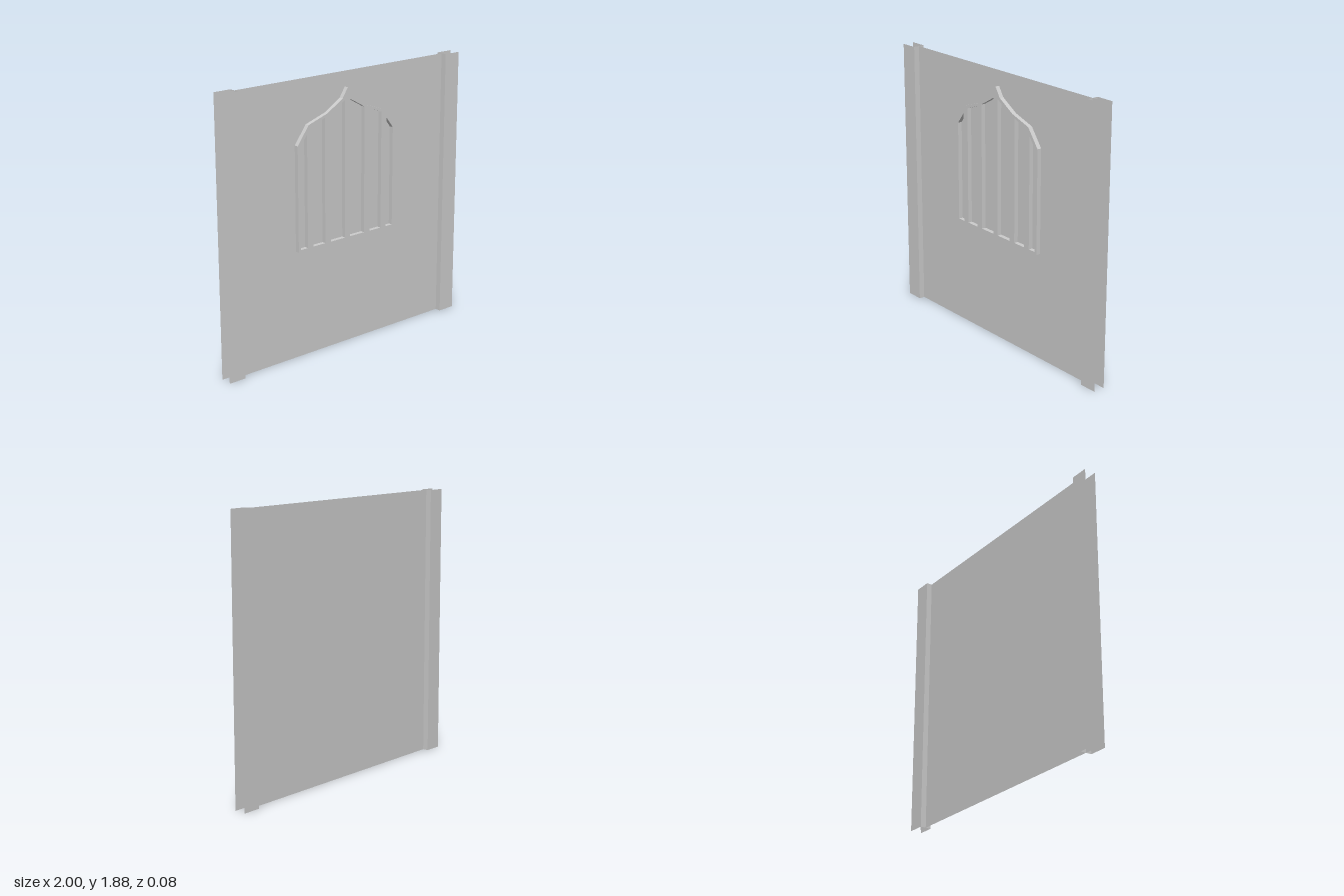
import * as THREE from 'three';

const HEIGHT = 1.88;
const HALF_GAP = 0.04; // half the depth of an edge channel
const WALL_X = 0.875; // where the channel meets the panel

const grey = new THREE.MeshStandardMaterial({ color: 0xcccccc, flatShading: true, side: THREE.DoubleSide });

// Full-height thin sheet, centred on (x, z)
function sheet(name, width, x, z, turn = 0) {
  const mesh = new THREE.Mesh(new THREE.PlaneGeometry(width, HEIGHT), grey);
  mesh.name = name;
  mesh.position.set(x, HEIGHT / 2, z);
  mesh.rotation.y = turn;
  return mesh;
}

// Channel along one edge, open to the outside
function edgeChannel(name, side) {
  const group = new THREE.Group();
  group.name = name;
  const width = 1 - WALL_X;
  const x = side * (WALL_X + width / 2);
  group.add(
    sheet('frontFlange', width, x, HALF_GAP),
    sheet('backFlange', width, x, -HALF_GAP, Math.PI),
    sheet('channelWall', HALF_GAP * 2, side * WALL_X, 0, -side * Math.PI / 2)
  );
  return group;
}

const toPoints = (pairs) => pairs.map(([x, y]) => new THREE.Vector2(x, y));

// Raised pointed-arch frame with vertical bars
function windowFrame() {
  const right = [[0.418, 0.745], [0.418, 1.457], [0.327, 1.58], [0.17, 1.632], [0.043, 1.71]];
  const left = right.map(([x, y]) => [-x, y]).reverse();
  const shape = new THREE.Shape(toPoints([...right, [0, 1.777], ...left]));

  // Openings: inner x, inner top, outer x, outer top
  const openings = [
    [0.022, 1.697, 0.145, 1.627],
    [0.194, 1.606, 0.295, 1.568],
    [0.341, 1.522, 0.399, 1.446]
  ];
  const sill = 0.76;
  for (const side of [-1, 1]) {
    for (const [x0, y0, x1, y1] of openings) {
      shape.holes.push(new THREE.Path(toPoints([
        [side * x0, sill], [side * x0, y0], [side * x1, y1], [side * x1, sill]
      ])));
    }
  }

  const geometry = new THREE.ExtrudeGeometry(shape, { depth: 0.03, bevelEnabled: false });
  const mesh = new THREE.Mesh(geometry, grey);
  mesh.name = 'windowFrame';
  mesh.position.z = 0.001;
  return mesh;
}

export function createModel() {
  const model = new THREE.Group();
  model.name = 'wallPanel';
  // The panel runs a little way into both channels
  model.add(
    sheet('panel', 1.88, 0, 0),
    edgeChannel('leftChannel', 1),
    edgeChannel('rightChannel', -1),
    windowFrame()
  );
  return model;
}
